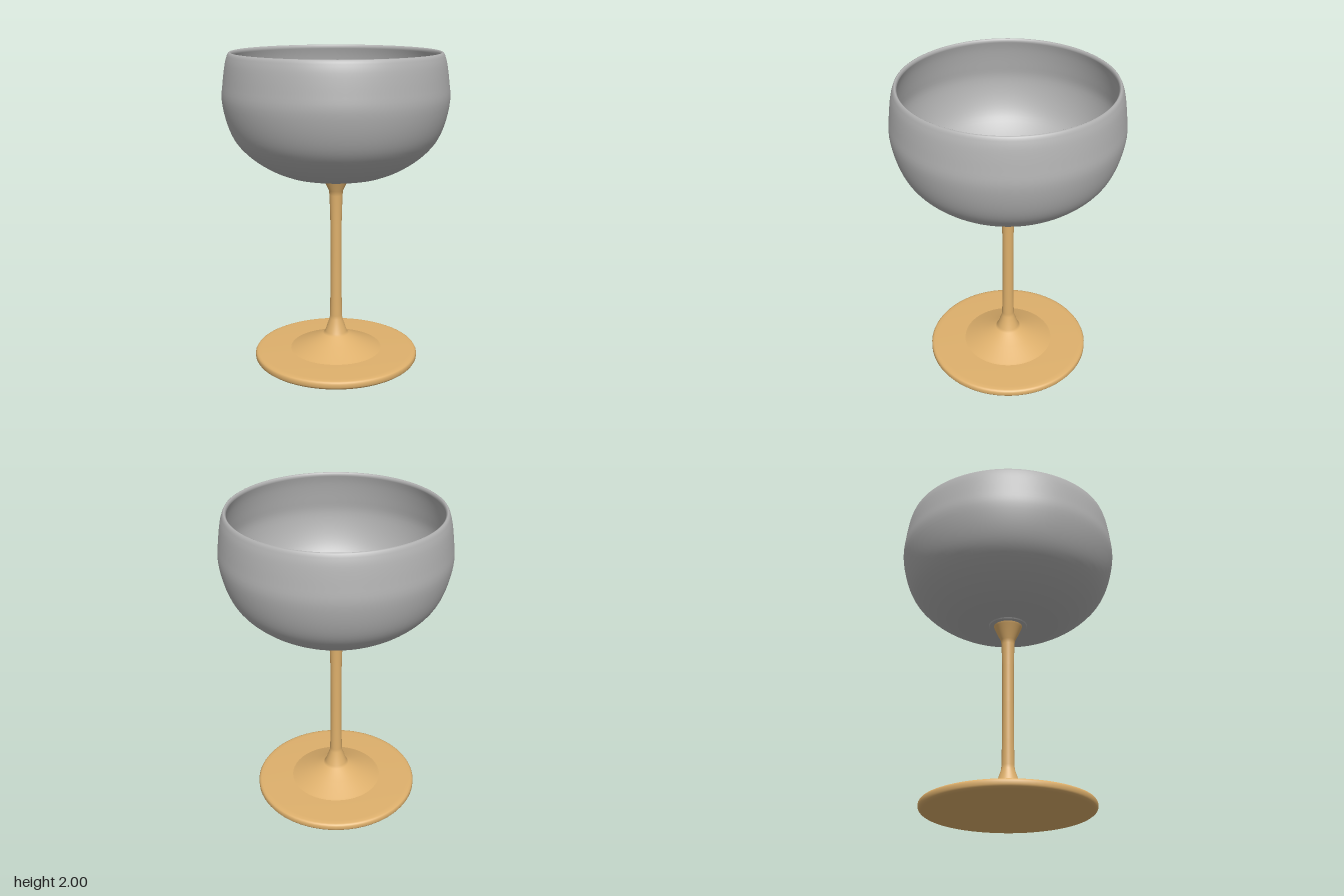
import * as THREE from 'three';

const gold = new THREE.MeshStandardMaterial({ color: 0xdeb06c });
gold.name = 'warm gold';
const grey = new THREE.MeshStandardMaterial({ color: 0xb2b2b2 });
grey.name = 'bowl grey';

// Spins a profile of [radius, height] pairs, listed along the outside from the bottom
function turned(name, profile, material, segments = 72) {
  const points = profile.map(([r, y]) => new THREE.Vector2(r, y));
  const mesh = new THREE.Mesh(new THREE.LatheGeometry(points, segments), material);
  mesh.name = name;
  return mesh;
}

// Smooth curve through a few [radius, height] pairs
function smooth(pairs, count) {
  const curve = new THREE.SplineCurve(pairs.map(([r, y]) => new THREE.Vector2(r, y)));
  return curve.getPoints(count).map((p) => [p.x, p.y]);
}

export function createModel() {
  const goblet = new THREE.Group();
  goblet.name = 'goblet';

  // Flat round foot with a rolled edge
  goblet.add(turned('foot', [
    [0, 0], [0.5, 0], [0.515, 0.002], [0.526, 0.01], [0.532, 0.02], [0.532, 0.04],
    [0.526, 0.05], [0.515, 0.055], [0.49, 0.057], [0.29, 0.064], [0, 0.066],
  ], gold));

  // Conical rise from the foot, slender stem and flared top
  goblet.add(turned('stem', [
    [0.31, 0.06], [0.285, 0.068], [0.18, 0.117], [0.085, 0.162], [0.072, 0.175],
    [0.042, 0.265], [0.04, 0.29], [0.037, 0.45], [0.036, 0.7], [0.037, 0.95],
    [0.042, 1.1], [0.046, 1.13], [0.088, 1.22], [0.092, 1.235],
  ], gold, 48));

  // Thin collar joining the stem to the bowl
  const collar = new THREE.Mesh(new THREE.CylinderGeometry(0.125, 0.12, 0.008, 48), grey);
  collar.name = 'collar';
  collar.position.y = 1.236;
  goblet.add(collar);

  // Hollow bowl: outside wall, rounded lip, then down the inside to the floor
  const outside = smooth([
    [0.325, 1.246], [0.42, 1.287], [0.53, 1.36], [0.62, 1.455], [0.672, 1.57],
    [0.7, 1.71], [0.692, 1.82], [0.676, 1.93], [0.66, 1.985],
  ], 32);
  const inside = smooth([
    [0.635, 1.985], [0.652, 1.92], [0.668, 1.81], [0.675, 1.71], [0.648, 1.58],
    [0.598, 1.47], [0.515, 1.385], [0.43, 1.325],
  ], 28);
  goblet.add(turned('bowl', [
    [0, 1.238], [0.3, 1.24], ...outside,
    [0.654, 1.996], [0.647, 2], [0.64, 1.996], ...inside,
    [0.4, 1.312], [0.3, 1.296], [0, 1.285],
  ], grey, 96));

  return goblet;
}
